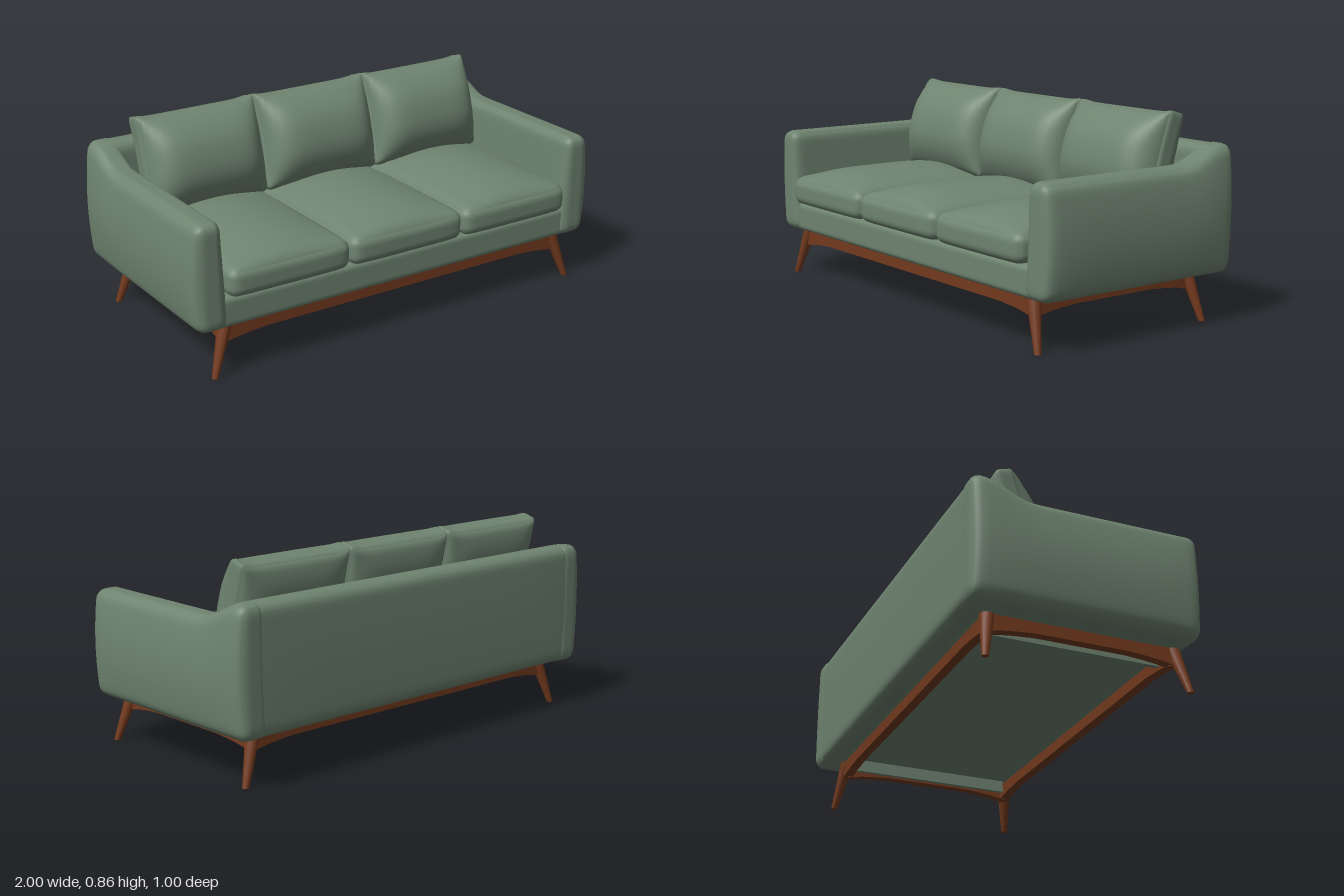
import * as THREE from 'three';
import { mergeVertices } from 'three/addons/utils/BufferGeometryUtils.js';

const fabric = new THREE.MeshStandardMaterial({ color: 0x6f8470 });
fabric.name = 'sage fabric';
const wood = new THREE.MeshStandardMaterial({ color: 0x733a1e });
wood.name = 'walnut wood';

function addMesh(parent, name, geometry, material) {
  const mesh = new THREE.Mesh(geometry, material);
  mesh.name = name;
  parent.add(mesh);
  return mesh;
}

// Rounded, finely divided box; warp(p, u, v, w) reshapes it, u, v, w run -1..1
function softBox(width, height, depth, radius, warp, n = 24) {
  const box = new THREE.BoxGeometry(2, 2, 2, n, n, n);
  box.deleteAttribute('uv');
  box.deleteAttribute('normal');
  const geometry = mergeVertices(box);
  const pos = geometry.attributes.position;
  const half = new THREE.Vector3(width / 2, height / 2, depth / 2);
  const core = half.clone().subScalar(radius);
  const p = new THREE.Vector3();
  const inner = new THREE.Vector3();
  const spread = (t) => Math.sin((t * Math.PI) / 2); // crowd points at the edges
  for (let i = 0; i < pos.count; i++) {
    p.fromBufferAttribute(pos, i);
    const [u, v, w] = [spread(p.x), spread(p.y), spread(p.z)];
    p.set(u, v, w).multiply(half);
    inner.copy(p).clamp(core.clone().negate(), core);
    p.sub(inner).setLength(radius).add(inner);
    if (warp) warp(p, u, v, w);
    pos.setXYZ(i, p.x, p.y, p.z);
  }
  geometry.computeVertexNormals();
  return geometry;
}

// Rail with a lower edge that deepens toward both ends
function railGeometry(halfLength, thickness) {
  const a = halfLength;
  const shape = new THREE.Shape();
  shape.moveTo(-a, 0.205);
  shape.lineTo(-a, 0.13);
  shape.quadraticCurveTo(-a + 0.05, 0.143, -a + 0.13, 0.15);
  shape.lineTo(-a + 0.2, 0.155);
  shape.lineTo(a - 0.2, 0.155);
  shape.lineTo(a - 0.13, 0.15);
  shape.quadraticCurveTo(a - 0.05, 0.143, a, 0.13);
  shape.lineTo(a, 0.205);
  const geometry = new THREE.ExtrudeGeometry(shape, { depth: thickness, bevelEnabled: false });
  return geometry.translate(0, 0, -thickness / 2);
}

// Tapered leg, sheared outward so its foot stays flat
function legGeometry(dx, dz) {
  const geometry = new THREE.CylinderGeometry(0.03, 0.014, 0.205, 16, 4);
  geometry.translate(0, 0.1025, 0);
  const pos = geometry.attributes.position;
  for (let i = 0; i < pos.count; i++) {
    const t = 1 - pos.getY(i) / 0.205;
    pos.setX(i, pos.getX(i) + dx * t);
    pos.setZ(i, pos.getZ(i) + dz * t);
  }
  geometry.computeVertexNormals();
  return geometry;
}

export function createModel() {
  const sofa = new THREE.Group();
  sofa.name = 'sofa';

  // Upholstered base and back
  addMesh(sofa, 'base', softBox(1.8, 0.13, 0.86, 0.025), fabric).position.set(0, 0.268, 0.025);
  const back = softBox(1.92, 0.525, 0.12, 0.045, (p, u, v, w) => {
    if (w < 0) p.z -= 0.006 * (1 - v * v) * (1 - u ** 6);
  });
  addMesh(sofa, 'back', back, fabric).position.set(0, 0.4665, -0.436);

  // Arms: outer face bulges, top sweeps up to the back
  for (const side of [1, -1]) {
    const arm = softBox(0.125, 0.455, 0.97, 0.042, (p, u, v, w) => {
      const rise = THREE.MathUtils.smoothstep(-p.z, 0.22, 0.44);
      p.y += (0.074 * rise * (v + 1)) / 2;
      if (u * side > 0) p.x += side * 0.03 * Math.abs(u) * (1 - v * v) * (1 - 0.5 * w ** 6);
      else p.x += side * 0.012 * Math.abs(u) * v;
    });
    addMesh(sofa, side > 0 ? 'leftArm' : 'rightArm', arm, fabric)
      .position.set(side * 0.909, 0.43, -0.015);
  }

  // Seat and back cushions
  const seat = softBox(0.562, 0.12, 0.76, 0.04, (p, u, v, w) => {
    if (v > 0) p.y += 0.06 * v * (1 - u * u) * (1 - w ** 4);
    if (w > 0) p.z -= 0.012 * u ** 6;
  });
  const pillow = softBox(0.565, 0.42, 0.09, 0.025, (p, u, v, w) => {
    const fullness = (1 - u ** 6) * (1 - Math.abs(v) ** 2.5);
    p.z += (w > 0 ? 0.11 : 0.05) * fullness * w;
    p.x *= 1 - 0.025 * (1 - v * v);
    if (v > 0) p.y += 0.014 * v * (u ** 8 - 0.5);
  });
  for (const i of [-1, 0, 1]) {
    addMesh(sofa, 'seatCushion', seat, fabric).position.set(i * 0.563, 0.395, 0.12);
    const cushion = addMesh(sofa, 'backCushion', pillow, fabric);
    cushion.position.set(i * 0.563, 0.655, -0.25);
    cushion.rotation.x = -0.29;
  }

  // Wooden frame and splayed legs
  const frame = new THREE.Group();
  frame.name = 'frame';
  sofa.add(frame);
  const longRail = railGeometry(0.84, 0.04);
  const shortRail = railGeometry(0.39, 0.04).rotateY(Math.PI / 2);
  for (const s of [1, -1]) {
    addMesh(frame, s > 0 ? 'frontRail' : 'rearRail', longRail, wood)
      .position.z = s > 0 ? 0.405 : -0.376;
    addMesh(frame, 'sideRail', shortRail, wood).position.set(s * 0.83, 0, 0.014);
    for (const f of [1, -1]) {
      addMesh(frame, f > 0 ? 'frontLeg' : 'rearLeg', legGeometry(s * 0.067, f * 0.033), wood)
        .position.set(s * 0.83, 0, f > 0 ? 0.408 : -0.38);
    }
    // Fabric-covered support strip under each end
    addMesh(sofa, 'supportStrip', new THREE.BoxGeometry(0.02, 0.055, 0.72), fabric)
      .position.set(s * 0.77, 0.178, 0.014);
  }
  return sofa;
}
